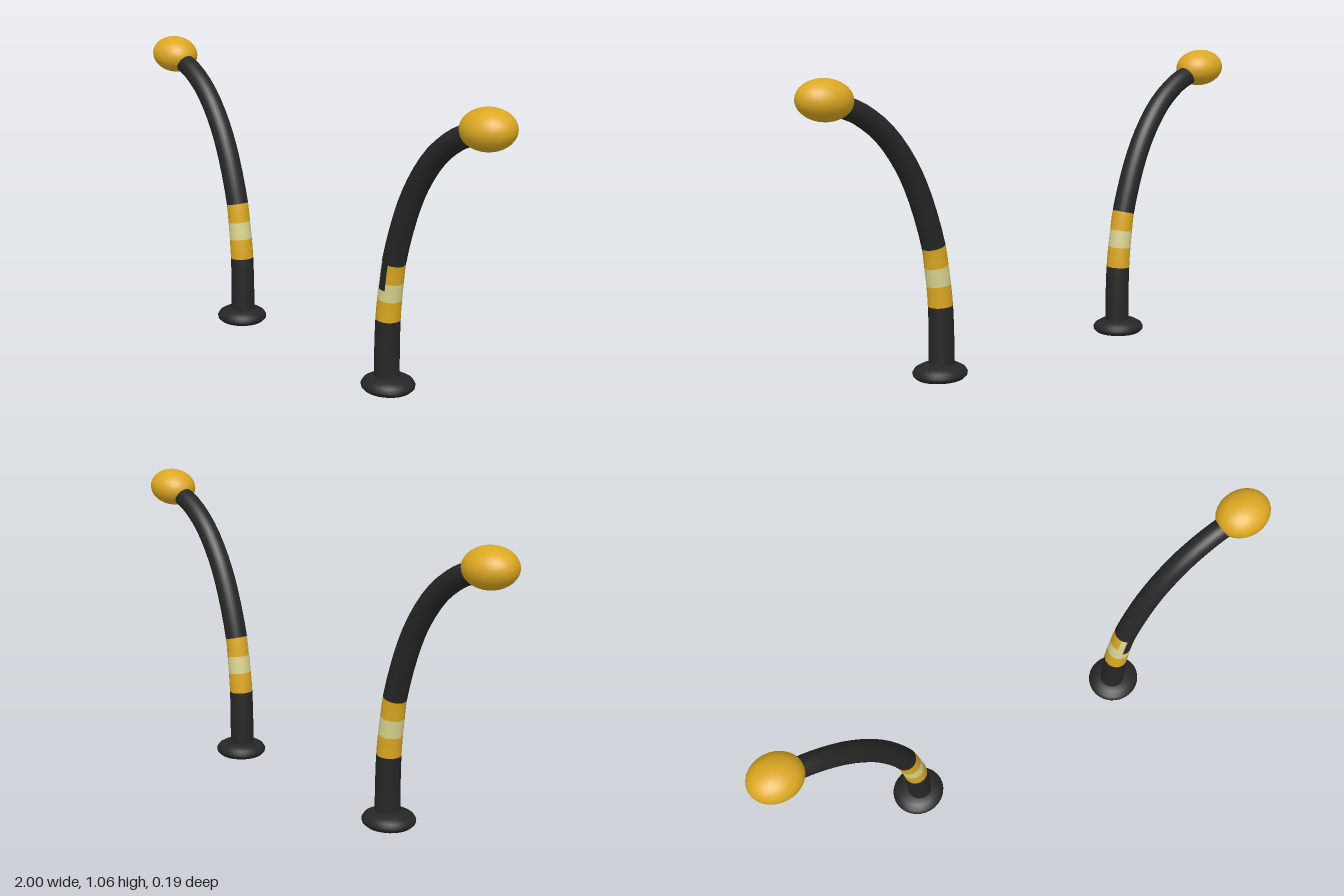
import * as THREE from 'three';
import { ParametricGeometry } from 'three/addons/geometries/ParametricGeometry.js';

const material = (name, color) => new THREE.MeshStandardMaterial({ name, color });

// Stem centre line; the coloured bands begin and end at points 2 to 5
const PATH = [
  [0.441, 0.02], [0.44, 0.14], [0.443, 0.255], [0.45, 0.33], [0.459, 0.395], [0.47, 0.465],
  [0.525, 0.636], [0.585, 0.757], [0.67, 0.866], [0.767, 0.938], [0.85, 0.972],
];
const LAST = PATH.length - 1;
const FRONT = Math.PI * 1.5;

export function createModel() {
  const black = material('black', 0x262626);
  const yellow = material('yellow', 0xdca822);
  const cream = material('cream', 0xd9d48f);
  const model = new THREE.Group();

  for (const side of [1, -1]) {
    const antenna = new THREE.Group();
    antenna.name = side > 0 ? 'leftAntenna' : 'rightAntenna';
    model.add(antenna);

    const add = (name, geometry, mat) => {
      const mesh = new THREE.Mesh(geometry, mat);
      mesh.name = name;
      antenna.add(mesh);
      return mesh;
    };

    const curve = new THREE.CatmullRomCurve3(PATH.map(([x, y]) => new THREE.Vector3(side * x, y, 0)));
    const zAxis = new THREE.Vector3(0, 0, 1);

    // Tapered piece of stem between two path points and two angles
    const stemPiece = (name, mat, from, to, a = 0, b = Math.PI * 2) => {
      const surface = (u, v, target) => {
        const t = (from + (to - from) * v) / LAST;
        const angle = a + (b - a) * u;
        const radius = 0.045 - 0.008 * t;
        const out = curve.getTangent(t).cross(zAxis);
        target.copy(curve.getPoint(t))
          .addScaledVector(out, radius * Math.cos(angle))
          .addScaledVector(zAxis, -radius * Math.sin(angle));
      };
      const around = Math.max(2, Math.round((b - a) / (Math.PI * 2) * 24));
      const along = Math.max(2, Math.ceil((to - from) * 3));
      add(name, new ParametricGeometry(surface, around, along), mat);
    };

    // Rounded foot
    const profile = [[0, 0], [0.085, 0], [0.096, 0.01], [0.098, 0.02], [0.09, 0.033], [0.07, 0.044], [0.04, 0.052], [0, 0.052]]
      .map(([r, y]) => new THREE.Vector2(r, y));
    const foot = add('foot', new THREE.LatheGeometry(profile, 28), black);
    foot.position.x = side * 0.448;
    foot.scale.z = 0.95;

    // Stem and bands
    stemPiece('lowerStem', black, 0, 2);
    stemPiece('lowerBand', yellow, 2, 3);
    if (side > 0) {
      // Dark notch and pale streak on the front of this antenna
      const l = FRONT - 0.95, m = FRONT - 0.4, r = FRONT + 0.35;
      stemPiece('middleBand', cream, 3, 3.6);
      stemPiece('middleBandTop', cream, 3.6, 4, r - Math.PI * 2, m);
      stemPiece('notchBottom', black, 3.6, 4, m, r);
      stemPiece('notchTop', black, 4, 5, m, r);
      stemPiece('paleStreak', cream, 4, 5, l, m);
      stemPiece('upperBand', yellow, 4, 5, r - Math.PI * 2, l);
    } else {
      stemPiece('middleBand', cream, 3, 4);
      stemPiece('upperBand', yellow, 4, 5);
    }
    stemPiece('upperStem', black, 5, LAST);

    // Egg-shaped bulb at the tip, narrowing toward the stem
    const bulbGeometry = new THREE.SphereGeometry(1, 28, 18);
    bulbGeometry.scale(0.098, 0.069, 0.084);
    const bulb = add('bulb', bulbGeometry, yellow);
    bulb.position.set(side * 0.902, 0.992, 0);
    bulb.rotation.z = side * 0.08;
  }
  return model;
}
